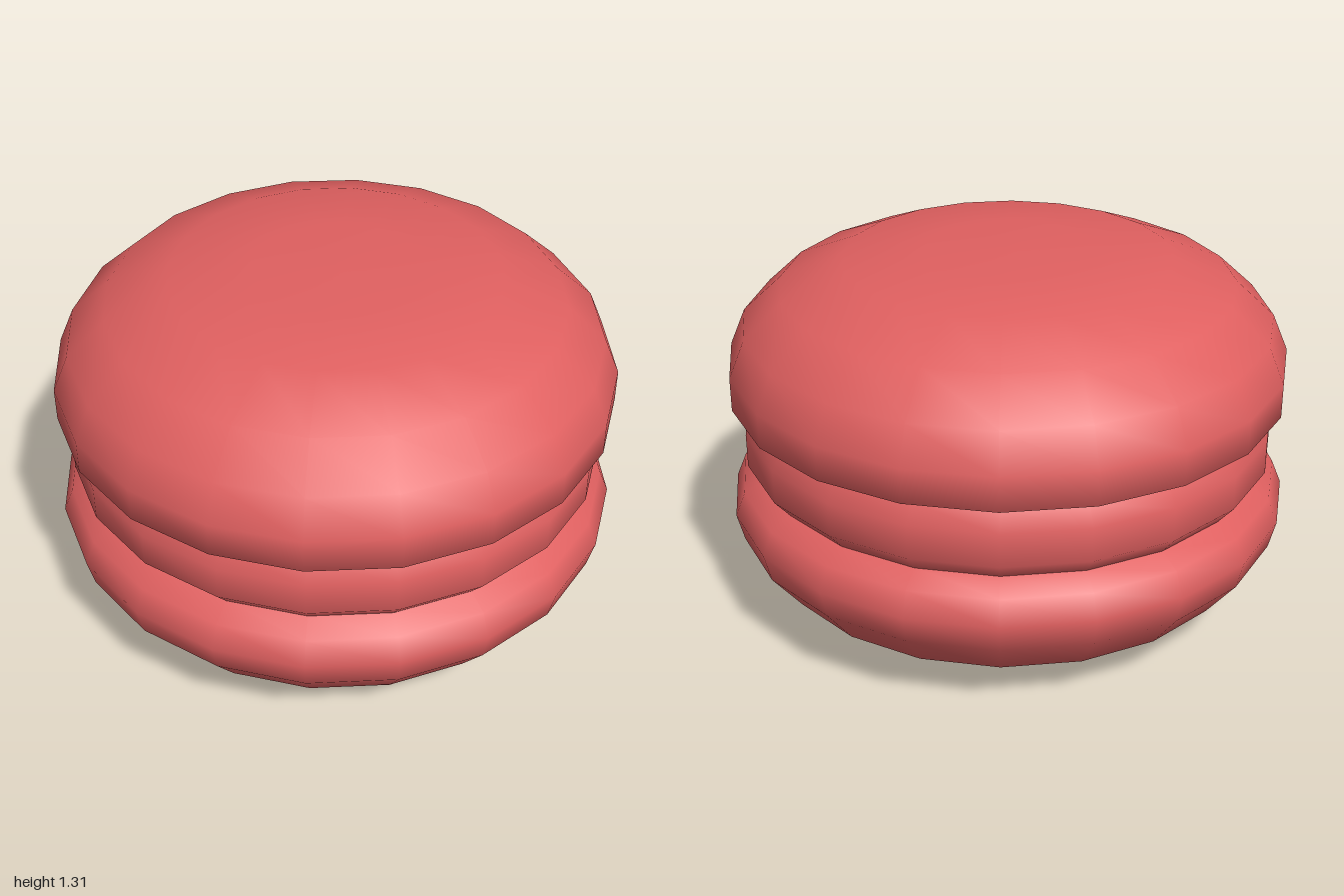
import * as THREE from 'three';

export function createModel() {
  const group = new THREE.Group();
  const red = new THREE.MeshStandardMaterial({ name: 'raspberry red', color: 0xe06060 });

  // Each layer is a smooth 20-sided turned profile, listed bottom to top
  const layers = {
    bottomShell: [[0, 0], [0.3, 0.005], [0.61, 0.04], [0.865, 0.17], [0.975, 0.31], [1, 0.41], [0.965, 0.495], [0.89, 0.535]],
    filling: [[0.89, 0.535], [0.945, 0.6], [0.945, 0.72], [0.905, 0.785]],
    topShell: [[0.905, 0.785], [0.985, 0.82], [0.985, 0.94], [0.93, 1.07], [0.795, 1.195], [0.575, 1.285], [0.29, 1.31], [0, 1.313]],
  };

  for (const [name, profile] of Object.entries(layers)) {
    const points = profile.map(([r, y]) => new THREE.Vector2(r, y));
    const mesh = new THREE.Mesh(new THREE.LatheGeometry(points, 20), red);
    mesh.name = name;
    group.add(mesh);
  }
  return group;
}
